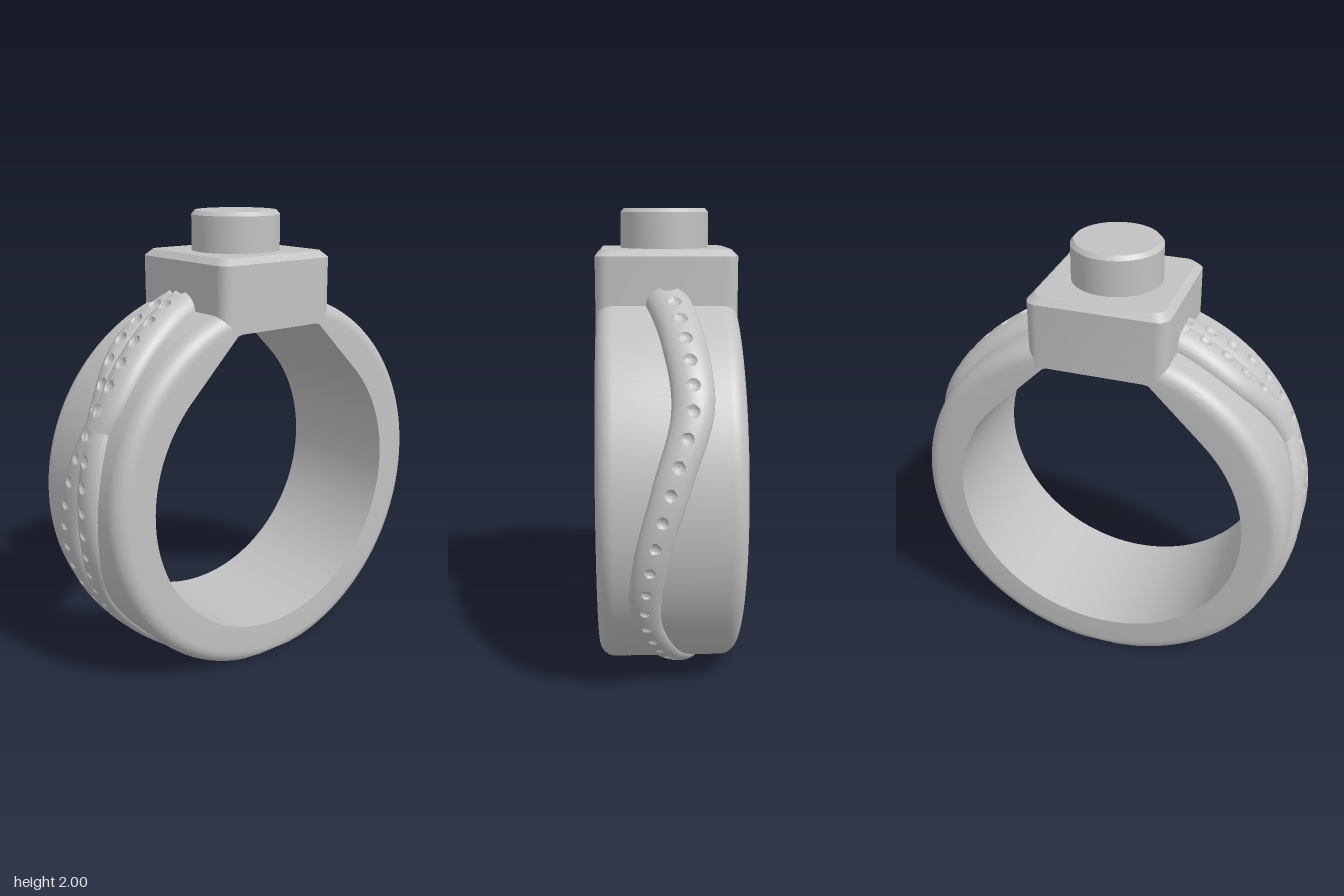
import * as THREE from 'three';
import { toCreasedNormals } from 'three/addons/utils/BufferGeometryUtils.js';

const RAD = Math.PI / 180;
const CY = 0.81;      // height of the band's axis
const INNER = 0.66;   // finger hole radius
const OUTER = 0.845;  // band radius
const HALF = 0.3;     // half width of the band
const BASE = 1.52;    // underside of the setting

// Surface from a grid of points; du x dv points outward
function gridSurface(nu, nv, point, crease) {
  const pos = [], index = [];
  for (let i = 0; i <= nu; i++) {
    for (let j = 0; j <= nv; j++) pos.push(...point(i, j));
  }
  for (let i = 0; i < nu; i++) {
    for (let j = 0; j < nv; j++) {
      const a = i * (nv + 1) + j, b = a + nv + 1;
      index.push(a, b, b + 1, a, b + 1, a + 1);
    }
  }
  const g = new THREE.BufferGeometry();
  g.setAttribute('position', new THREE.Float32BufferAttribute(pos, 3));
  g.setIndex(index);
  return toCreasedNormals(g, crease);
}

// Round hole that runs straight at 45 degrees up to the setting
function innerRadius(deg) {
  const fromTop = Math.abs(((deg + 90) % 360) - 180); // 0 at the top
  if (fromTop >= 45) return INNER;
  return Math.min(INNER / Math.cos((45 - fromTop) * RAD), (BASE - CY) / Math.cos(fromTop * RAD));
}

// Band: rounded outer edges, flattened at the bottom
function bandGeometry() {
  const fillet = 0.068, steps = 8, outline = [];
  for (const side of [-1, 1]) {
    for (let k = 0; k <= steps; k++) {
      const a = (side < 0 ? k : steps - k) / steps * Math.PI / 2;
      outline.push([OUTER - fillet + fillet * Math.sin(a), side * (HALF - fillet + fillet * Math.cos(a))]);
    }
  }
  const nu = 180, nv = outline.length + 2;
  return gridSurface(nu, nv, (i, j) => {
    const deg = (i % nu) * 360 / nu, a = deg * RAD;
    let r, z;
    if (j === 0 || j === nv) [r, z] = [innerRadius(deg), -HALF];
    else if (j === nv - 1) [r, z] = [innerRadius(deg), HALF];
    else [r, z] = outline[j - 1];
    return [r * Math.cos(a), Math.max(0, CY + r * Math.sin(a)), z];
  }, 15 * RAD);
}

// Setting: rounded square block with a chamfered top
function settingGeometry() {
  const corner = 0.055, half = 0.302, loop = [];
  for (let q = 0; q < 4; q++) {
    for (let k = 0; k <= 6; k++) {
      const a = (q + k / 6) * Math.PI / 2, m = (q + 0.5) * Math.PI / 2;
      const c = (half - corner) * Math.SQRT2;
      loop.push([c * Math.cos(m) + corner * Math.cos(a), -c * Math.sin(m) - corner * Math.sin(a)]);
    }
  }
  const rings = [[0, BASE], [1, BASE], [1, 1.803], [0.91, 1.83], [0, 1.83]];
  return gridSurface(loop.length, rings.length - 1, (i, j) => {
    const [x, z] = loop[i % loop.length], [s, y] = rings[j];
    return [x * s, y, z * s];
  }, 25 * RAD);
}

// Vine: tapering raised strand on the +x side with a row of round dimples.
// offsets are its z positions every 20 degrees from the top to the bottom.
function vineGeometry(offsets, thickness) {
  const path = new THREE.SplineCurve(offsets.map((z, k) => new THREE.Vector2(90 - 20 * k, z)));
  const centre = deg => path.getPoint((90 - deg) / 180).y;
  const lerp = THREE.MathUtils.lerp;
  const nu = 420, nv = 48, low = -72, high = 80;
  return gridSurface(nu, nv, (i, j) => {
    const deg = lerp(low, high, i / nu), a = deg * RAD, s = j / nv * Math.PI;
    const t = THREE.MathUtils.clamp((deg + 70) / 140, 0, 1);
    const width = thickness * lerp(0.05, 0.098, t);
    const height = thickness * lerp(0.025, 0.074, t * t);
    const z = centre(deg) - width * Math.cos(s);
    let r = OUTER - 0.006 + (height + 0.006) * Math.sin(s);
    // Nearest dimple
    const dot = 1.7 + 6.9 * Math.round((deg - 1.7) / 6.9);
    const size = lerp(0.013, 0.029, t);
    const dist = Math.hypot((deg - dot) * RAD * r, z - centre(dot));
    if (dist < size && dot < 72) r -= 0.6 * Math.sqrt(size * size - dist * dist);
    return [r * Math.cos(a), Math.max(0.001, CY + r * Math.sin(a)), z];
  }, 30 * RAD);
}

export function createModel() {
  const group = new THREE.Group();
  group.name = 'ring';
  const metal = new THREE.MeshStandardMaterial({ color: 0xc2c2c2 });
  metal.name = 'grey metal';

  const add = (name, geometry) => {
    const mesh = new THREE.Mesh(geometry, metal);
    mesh.name = name;
    group.add(mesh);
    return mesh;
  };

  add('band', bandGeometry());
  add('setting', settingGeometry());

  // Round post with a small chamfer
  const profile = [[0, 1.82], [0.193, 1.82], [0.193, 1.983], [0.178, 2], [0, 2]];
  const post = new THREE.LatheGeometry(profile.map(p => new THREE.Vector2(...p)), 64);
  add('post', toCreasedNormals(post, 25 * RAD));

  // One vine on the left, its half-turn copy and a second strand on the right
  const vine = vineGeometry([0.06, -0.005, -0.06, -0.08, 0.005, 0.085, 0.105, 0.025, -0.08, -0.15], 1);
  add('leftVine', vine);
  add('rightVine', vine).rotation.y = Math.PI;
  const strand = vineGeometry([0.02, 0.045, 0.045, -0.05, -0.09, -0.07, 0.01, 0, -0.09, -0.15], 0.95);
  add('rightSecondVine', strand).rotation.y = Math.PI;

  // Vine ends showing below the setting
  for (const side of [-1, 1]) {
    const end = add(side > 0 ? 'leftVineEnd' : 'rightVineEnd', new THREE.SphereGeometry(1, 24, 16));
    end.scale.set(0.085, 0.04, 0.07);
    end.position.set(side * 0.235, 1.505, 0);
    end.rotation.z = -side * 0.4;
  }
  return group;
}
